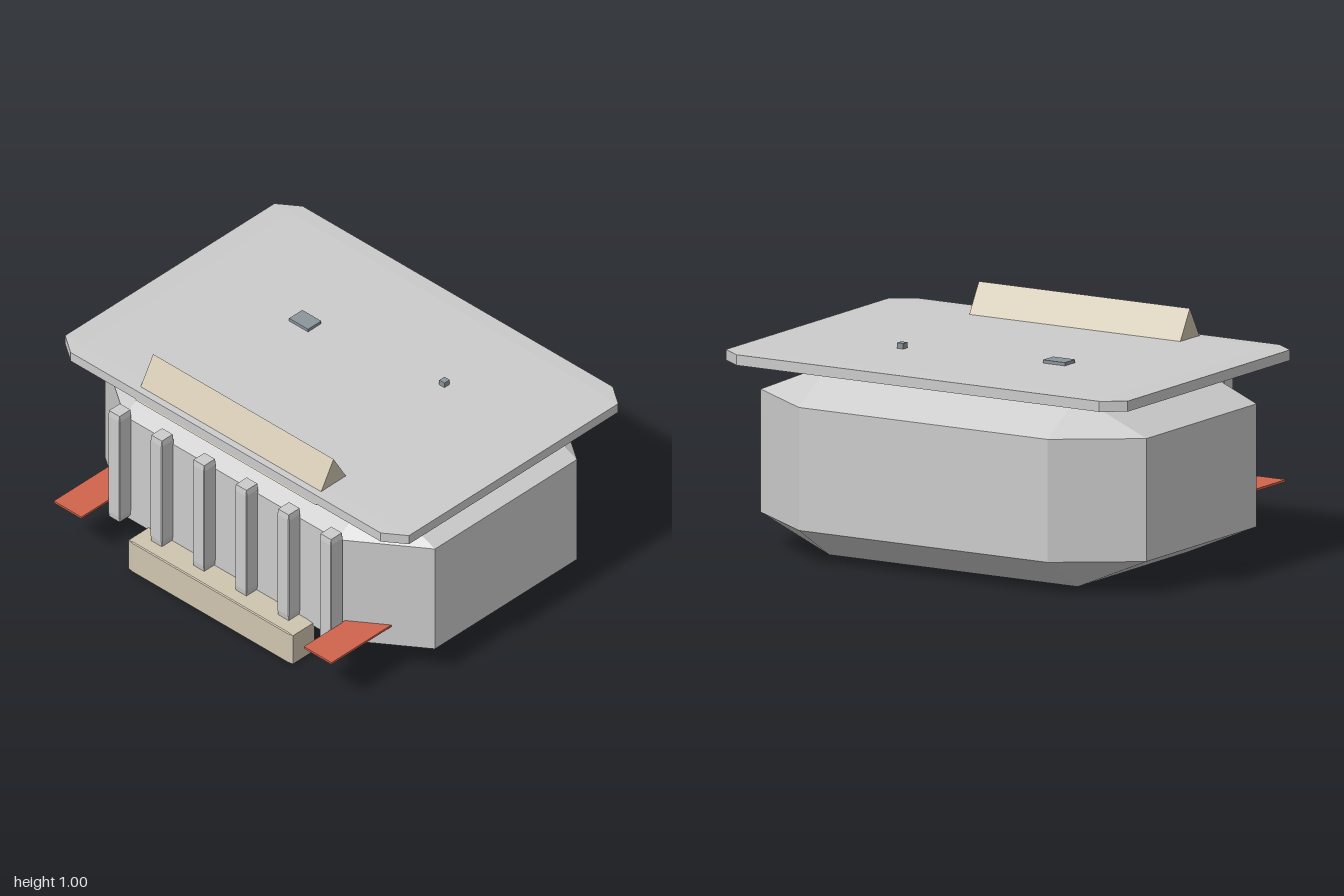
import * as THREE from 'three';
import { ConvexGeometry } from 'three/addons/geometries/ConvexGeometry.js';

const material = (color) => new THREE.MeshStandardMaterial({ color, flatShading: true });
const grey = material(0xcccccc);
const beige = material(0xcfc5b0);
const slate = material(0x8a959b);
const red = material(0xd0644c);

// Box between two corners, all edges cut back by a fraction of each dimension
function chamferedBox(min, max, cut) {
  const lo = new THREE.Vector3(...min);
  const hi = new THREE.Vector3(...max);
  const centre = lo.clone().add(hi).multiplyScalar(0.5);
  const half = hi.clone().sub(lo).multiplyScalar(0.5);
  const inner = 1 - 2 * cut;
  const points = [];
  for (const sx of [-1, 1]) for (const sy of [-1, 1]) for (const sz of [-1, 1]) {
    for (const axis of ['x', 'y', 'z']) {
      const p = new THREE.Vector3(sx * inner, sy * inner, sz * inner);
      p[axis] /= inner;
      points.push(p.multiply(half));
    }
  }
  return new ConvexGeometry(points).translate(centre.x, centre.y, centre.z);
}

function plainBox(min, max) {
  const [w, h, d] = max.map((v, i) => v - min[i]);
  const [x, y, z] = max.map((v, i) => (v + min[i]) / 2);
  return new THREE.BoxGeometry(w, h, d).translate(x, y, z);
}

export function createModel() {
  const model = new THREE.Group();
  const add = (name, geometry, mat, parent = model) => {
    const mesh = new THREE.Mesh(geometry, mat);
    mesh.name = name;
    parent.add(mesh);
    return mesh;
  };

  // Faceted main body and the thin overhanging roof slab
  add('body', chamferedBox([-0.96, 0, -0.765], [0.96, 0.818, 0.57], 0.178), grey);
  add('roof', chamferedBox([-1, 0.826, -0.805], [1, 0.876, 0.6], 0.049), grey);

  // Triangular ridge along the front of the roof
  const ridge = new THREE.CylinderGeometry(0.123, 0.123, 1.05, 3)
    .rotateZ(Math.PI / 2).rotateX(-Math.PI / 2).translate(0, 0.882, 0.493);
  add('roofRidge', ridge, beige);

  // Small units on the roof
  add('roofHatch', plainBox([-0.39, 0.87, -0.27], [-0.28, 0.89, -0.19]), slate);
  add('roofVent', plainBox([0.37, 0.87, -0.34], [0.4, 0.9, -0.308]), slate);

  // Row of front columns
  const columns = new THREE.Group();
  columns.name = 'columns';
  model.add(columns);
  for (let i = 0; i < 6; i++) {
    const x = -0.615 + i * 0.246;
    add('column', chamferedBox([x - 0.034, 0.165, 0.565], [x + 0.034, 0.722, 0.638], 0.05), grey, columns);
  }

  // Front step
  add('frontStep', chamferedBox([-0.478, 0.003, 0.555], [0.478, 0.162, 0.695], 0.03), beige);

  // Flat side awnings
  add('leftAwning', plainBox([0.647, 0.24, 0.4], [0.808, 0.25, 0.8]), red);
  add('rightAwning', plainBox([-0.808, 0.24, 0.4], [-0.647, 0.25, 0.8]), red);

  return model;
}
